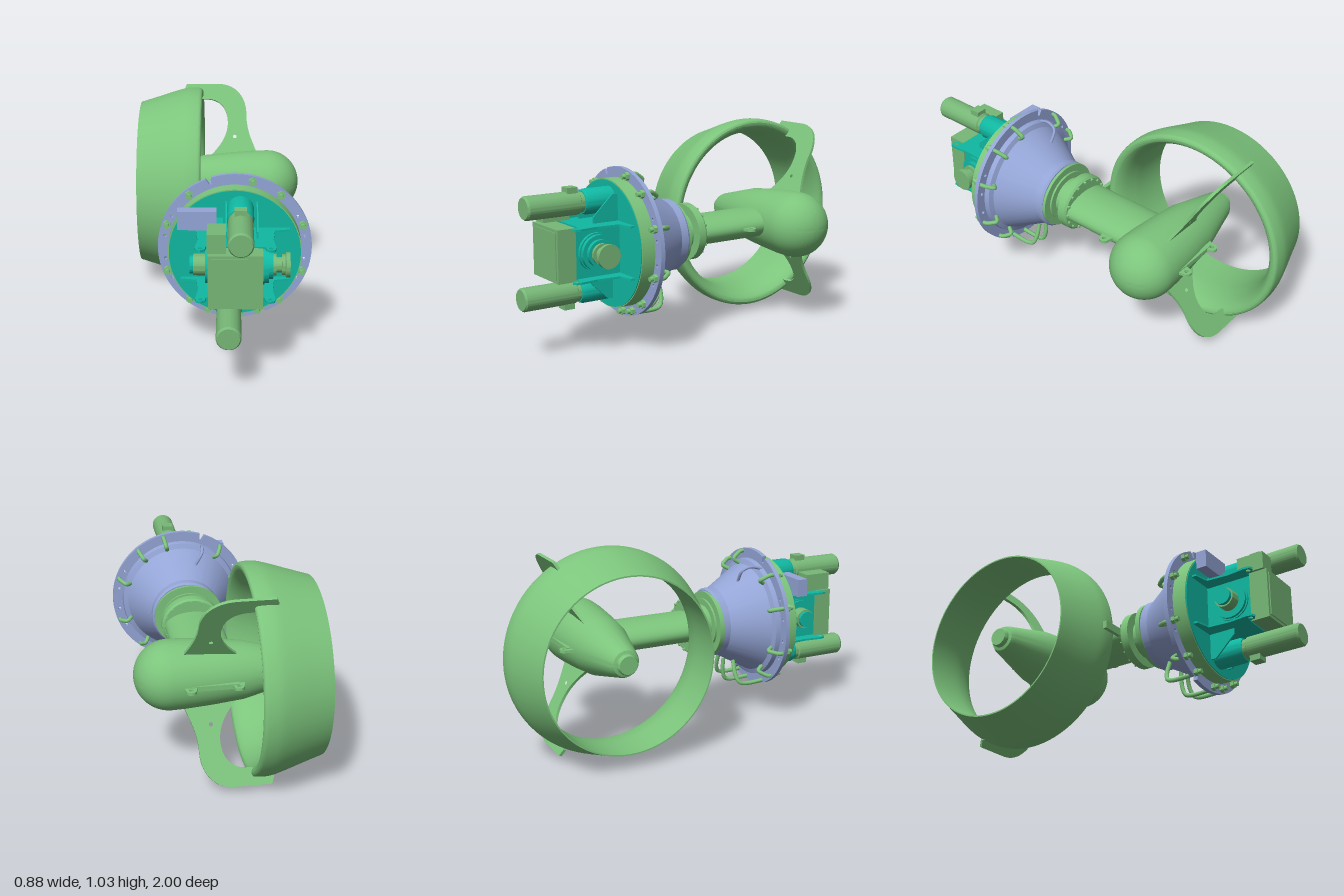
import * as THREE from 'three';
import { toCreasedNormals } from 'three/addons/utils/BufferGeometryUtils.js';

const paint = (color) => new THREE.MeshStandardMaterial({ color });
const V = (x, y, z) => new THREE.Vector3(x, y, z);
const CX = 0.07, CY = 0.52, PZ = -0.485; // stem axis and pod axis

export function createModel() {
  const model = new THREE.Group();
  const green = paint(0x7cc47c), olive = paint(0x77b777), teal = paint(0x10b8a2), blue = paint(0x94a5d6);

  const add = (name, geo, mat, x = 0, y = 0, z = 0) => {
    const m = new THREE.Mesh(geo, mat);
    m.name = name;
    m.position.set(x, y, z);
    model.add(m);
    return m;
  };
  // Profiles are [radius, position along axis]
  const lathe = (pts, axis, seg = 64) => {
    const g = new THREE.LatheGeometry(pts.map(([r, t]) => new THREE.Vector2(r, t)), seg);
    if (axis === 'x') g.rotateZ(-Math.PI / 2);
    else g.rotateX(Math.PI / 2);
    return toCreasedNormals(g, 0.5);
  };
  const rod = (r, t0, t1, axis, seg = 40) => lathe([[0, t0], [r, t0], [r, t1], [0, t1]], axis, seg);
  const box = (name, mat, x0, x1, y0, y1, z0, z1) =>
    add(name, new THREE.BoxGeometry(x1 - x0, y1 - y0, z1 - z0), mat, (x0 + x1) / 2, (y0 + y1) / 2, (z0 + z1) / 2);
  const plate = (shape, t) =>
    new THREE.ExtrudeGeometry(shape, { depth: t, bevelEnabled: false, curveSegments: 16 }).translate(0, 0, -t / 2);
  const hole = (shape, x, y, r) => shape.holes.push(new THREE.Path().absarc(x, y, r, 0, Math.PI * 2, true));
  const polygon = (pts) => new THREE.Shape(pts.map(([x, y]) => new THREE.Vector2(x, y)));

  // Nozzle ring around the propeller axis
  const outer = new THREE.SplineCurve([[0.437, -0.44], [0.465, -0.35], [0.494, -0.26], [0.512, -0.195], [0.515, -0.15], [0.511, -0.115], [0.497, -0.105]]
    .map((p) => new THREE.Vector2(...p))).getPoints(24);
  const inner = new THREE.SplineCurve([[0.497, -0.105], [0.475, -0.112], [0.45, -0.15], [0.434, -0.21], [0.428, -0.28], [0.43, -0.44]]
    .map((p) => new THREE.Vector2(...p))).getPoints(24);
  const ring = [...outer, ...inner.slice(1)].map((p) => [p.x, p.y]);
  add('nozzle', lathe([...ring, ring[0]], 'x', 128), green, 0, CY, PZ);

  // Pod with tapered tail and round nose
  const pod = [[0, -0.41], [0.045, -0.41], [0.05, -0.4], [0.05, -0.385], [0.065, -0.38], [0.075, -0.36], [0.142, -0.1], [0.158, 0.05], [0.168, 0.18]];
  for (let i = 0; i <= 16; i++) {
    const a = (i / 16) * Math.PI / 2;
    pod.push([i === 16 ? 0 : 0.17 * Math.cos(a), 0.25 + 0.17 * Math.sin(a)]);
  }
  add('pod', lathe(pod, 'x'), green, 0, CY, PZ);

  // Two curved fins holding the nozzle
  const fin = new THREE.Shape();
  fin.moveTo(-0.215, 0.515);
  fin.lineTo(-0.2, 0.553);
  fin.lineTo(-0.02, 0.553);
  fin.bezierCurveTo(0.09, 0.55, 0.135, 0.46, 0.135, 0.38);
  fin.bezierCurveTo(0.135, 0.28, 0.17, 0.22, 0.2, 0.14);
  fin.lineTo(-0.085, 0.12);
  fin.bezierCurveTo(0.0, 0.2, 0.05, 0.28, 0.025, 0.38);
  fin.bezierCurveTo(0.005, 0.45, -0.05, 0.47, -0.11, 0.465);
  fin.lineTo(-0.13, 0.485);
  fin.closePath();
  hole(fin, 0.07, 0.25, 0.01);
  for (const turn of [-0.52, Math.PI + 0.52])
    add('nozzleFin', plate(fin, 0.014).rotateX(turn), green, 0, CY, PZ);

  // Streamlined stem and its collar
  add('stem', rod(1, -0.42, 0.06, 'z', 64).scale(0.145, 0.075, 1), green, 0.055, CY, 0);
  add('stemCollar', lathe([[0, 0.05], [0.145, 0.05], [0.155, 0.06], [0.155, 0.1], [0.105, 0.1], [0.105, 0.155],
    [0.14, 0.155], [0.14, 0.165], [0.18, 0.165], [0.18, 0.19], [0, 0.19]], 'z').scale(1, 0.93, 1), green, 0.06, CY, 0);
  for (let i = 0; i < 16; i++) {
    const a = (i / 16) * Math.PI * 2;
    add('collarBolt', rod(0.007, 0.04, 0.06, 'z', 6), green, 0.06 + 0.138 * Math.cos(a), CY + 0.128 * Math.sin(a), 0);
  }

  // Lifting lugs on pod and stem
  const lug = (x, z, turn) => {
    const s = new THREE.Shape();
    s.moveTo(-0.035, -0.04);
    s.lineTo(0.035, -0.04);
    s.lineTo(0.025, 0);
    s.absarc(0, 0, 0.025, 0, Math.PI, false);
    s.closePath();
    hole(s, 0, 0, 0.01);
    add('liftingLug', plate(s, 0.014).rotateX(Math.PI / 2).rotateY(turn), green, x, CY, z);
  };
  lug(-0.055, -0.665, Math.PI);
  lug(0.17, -0.675, Math.PI);
  lug(0.225, -0.215, Math.PI / 2);
  box('lugRail', green, -0.06, 0.18, CY - 0.012, CY + 0.012, -0.655, -0.63);
  box('stemBracket', green, -0.21, -0.08, CY - 0.02, CY + 0.02, 0.035, 0.055);

  // Conical housing
  add('cone', lathe([[0, 0.18], [0.172, 0.18], [0.18, 0.19], [0.18, 0.23], [0.285, 0.415], [0.31, 0.425],
    [0.315, 0.455], [0, 0.455]], 'z', 96), blue, CX, CY, 0);

  // Mounting flange with notches and bolt holes
  const rim = [];
  const notches = [110, 250, 292];
  for (let d = 0; d < 360; d++) {
    const r = notches.some((n) => Math.abs(d - n) <= 1) ? 0.335 : 0.366;
    rim.push([r * Math.cos(d * Math.PI / 180), r * Math.sin(d * Math.PI / 180)]);
  }
  const flange = polygon(rim);
  for (const d of [10, 28, 152, 170, 190, 208, 332, 350])
    hole(flange, 0.335 * Math.cos(d * Math.PI / 180), 0.335 * Math.sin(d * Math.PI / 180), 0.008);
  add('mountingFlange', toCreasedNormals(plate(flange, 0.022), 0.5), blue, CX, CY, 0.462);
  add('drum', rod(0.315, 0.46, 0.543, 'z', 96), green, CX, CY, 0);
  add('facePlate', rod(0.31, 0.53, 0.547, 'z', 96), teal, CX, CY, 0);

  // Hoses hooked over the flange; the lower ones are longer
  const hose = (deg, long) => {
    const z = long ? 0.3 : 0.39, rIn = long ? 0.22 : 0.285;
    const path = new THREE.CatmullRomCurve3([V(0.342, 0, 0.5), V(0.352, 0, 0.44), V(long ? 0.345 : 0.335, 0, z + 0.02),
      V(long ? 0.3 : 0.315, 0, z), V(rIn, 0, z + (long ? 0.0 : 0.035))]);
    const h = add('hose', new THREE.TubeGeometry(path, 24, 0.011, 8), green, CX, CY, 0);
    h.rotation.z = deg * Math.PI / 180;
    const a = deg * Math.PI / 180;
    add('hoseFitting', rod(0.02, 0.47, 0.492, 'z', 6), green, CX + 0.342 * Math.cos(a), CY + 0.342 * Math.sin(a), 0);
    add('hoseCap', rod(0.012, 0.492, 0.51, 'z', 12), green, CX + 0.342 * Math.cos(a), CY + 0.342 * Math.sin(a), 0);
  };
  for (const d of [20, 51, 76, 129, 160, 200, 231, 309, 340]) hose(d, false);
  for (const d of [248, 275, 289]) hose(d, true);
  const pipe = new THREE.CatmullRomCurve3([V(-0.05, 0.8, 0.46), V(-0.045, 0.82, 0.38), V(-0.035, 0.8, 0.335), V(0, 0.74, 0.33)]);
  add('ventPipe', new THREE.TubeGeometry(pipe, 24, 0.008, 8), blue);

  // Gearbox with cover
  box('gearbox', teal, -0.045, 0.19, 0.4, 0.635, 0.54, 0.785);
  box('gearboxCover', olive, -0.05, 0.195, 0.39, 0.645, 0.785, 0.88);
  box('coverPanel', olive, -0.035, 0.18, 0.405, 0.63, 0.88, 0.885);

  // Horizontal web plates ending in lifting eyes
  const web = polygon([[-0.185, 0.54], [-0.185, 0.57], [-0.11, 0.585], [-0.1, 0.7], [-0.11, 0.79], [-0.105, 0.815],
    [-0.085, 0.825], [-0.065, 0.81], [-0.06, 0.78], [0.205, 0.78], [0.21, 0.81], [0.23, 0.825], [0.25, 0.815],
    [0.255, 0.79], [0.245, 0.7], [0.255, 0.585], [0.325, 0.57], [0.325, 0.54]]);
  hole(web, -0.085, 0.8, 0.011);
  hole(web, 0.23, 0.8, 0.011);
  for (const y of [0.395, 0.645]) add('webPlate', plate(web, 0.01).rotateX(Math.PI / 2), teal, 0, y, 0);

  // Vertical gussets beside the motors
  const gusset = polygon([[0, 0.54], [0, 0.68], [0.03, 0.68], [0.13, 0.575], [0.13, 0.54]]);
  for (const [x, y, up] of [[0.03, 0.65, 1], [0.172, 0.65, 1], [-0.03, 0.39, -1], [0.118, 0.39, -1]]) {
    const g = plate(gusset, 0.008).rotateY(-Math.PI / 2).rotateZ(-Math.PI / 2); // shape x -> z, shape y -> -x
    g.rotateY(-Math.PI / 2);
    // Rebuilt as a plain extrusion: shape x becomes height, shape y becomes depth
    g.copy(plate(gusset, 0.008)).applyMatrix4(new THREE.Matrix4().makeBasis(V(0, 1, 0), V(0, 0, 1), V(1, 0, 0)));
    const m = add('gusset', g, teal, x, y, 0);
    if (up < 0) m.rotation.z = Math.PI;
  }

  // Input shafts on either side of the gearbox
  add('inputShaftHousing', lathe([[0, 0.18], [0.092, 0.18], [0.092, 0.205], [0.085, 0.205], [0.085, 0.225], [0.065, 0.225],
    [0.065, 0.245], [0, 0.245]], 'x'), teal, 0, CY, 0.68);
  add('inputCoupling', lathe([[0, 0.24], [0.05, 0.24], [0.05, 0.26], [0.036, 0.26], [0.036, 0.285], [0.048, 0.285], [0.048, 0.3],
    [0.058, 0.305], [0.058, 0.323], [0, 0.323]], 'x'), olive, 0, CY, 0.68);
  add('rearShaftHousing', lathe([[0, -0.065], [0.085, -0.065], [0.085, -0.052], [0.092, -0.052], [0.092, -0.035], [0, -0.035]], 'x'), teal, 0, CY, 0.68);
  add('rearShaftCover', lathe([[0, -0.12], [0.05, -0.12], [0.05, -0.06], [0, -0.06]], 'x'), olive, 0, CY, 0.68);
  add('rearShaftCap', rod(0.042, -0.137, -0.12, 'x'), teal, 0, CY, 0.68);

  // Steering motors, one above and one below
  for (const [x, y, s] of [[0.095, 0.743, 1], [0.043, 0.3, -1]]) {
    add('motorBase', lathe([[0, 0.54], [0.062, 0.54], [0.062, 0.68], [0.055, 0.7], [0, 0.7]], 'z'), teal, x, y, 0);
    add('motor', lathe([[0, 0.69], [0.05, 0.69], [0.05, 0.72], [0.057, 0.725], [0.057, 0.99], [0.05, 1], [0, 1]], 'z'), olive, x, y, 0);
    box('motorTerminalBox', olive, x - 0.028, x + 0.028, y + s * 0.058 - 0.02, y + s * 0.058 + 0.02, 0.73, 0.785);
  }

  // Control boxes
  box('controlBox', blue, -0.195, -0.015, 0.67, 0.76, 0.58, 0.635);
  box('valveBox', olive, -0.055, 0.03, 0.65, 0.74, 0.725, 0.865);
  box('valveBracket', teal, -0.04, 0.015, 0.655, 0.7, 0.54, 0.73);
  return model;
}
